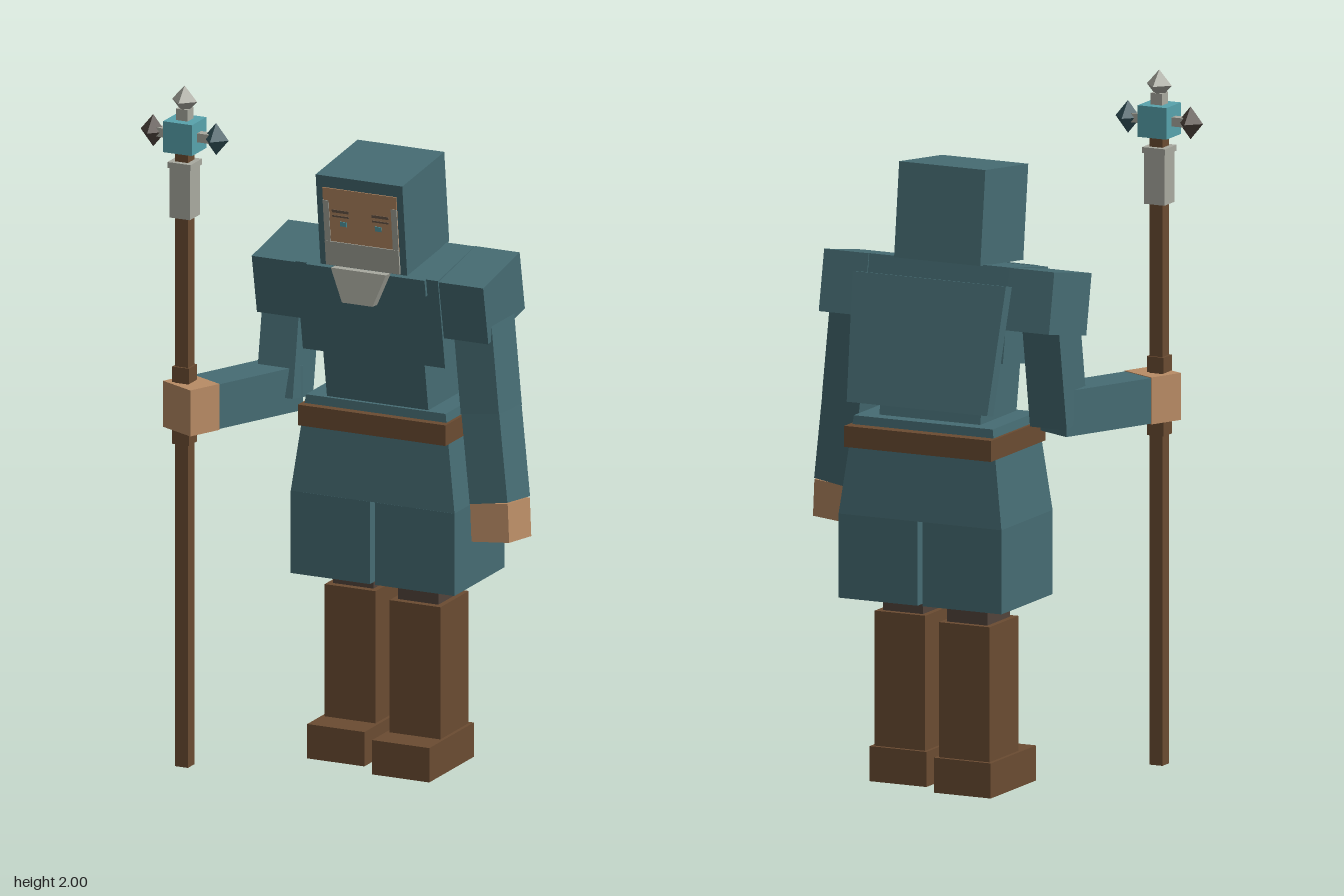
import * as THREE from 'three';

const mat = (name, color) => Object.assign(new THREE.MeshStandardMaterial({ color }), { name });

export function createModel() {
  const teal = mat('teal cloth', 0x466c73);
  const brown = mat('brown leather', 0x6b4c32);
  const darkBrown = mat('dark trousers', 0x52443b);
  const skin = mat('skin', 0xb98c65);
  const grey = mat('pale grey', 0xa9aaa0);
  const gem = mat('bright teal', 0x58a3ad);
  const darkGem = mat('dark teal', 0x34565e);
  const iron = mat('dark iron', 0x50463f);
  const ink = mat('brow', 0x6d5a4a);

  const model = new THREE.Group();
  model.name = 'hoodedStaffBearer';

  const add = (name, geo, material, x, y, z, parent = model) => {
    const m = new THREE.Mesh(geo, material);
    m.name = name;
    m.position.set(x, y, z);
    parent.add(m);
    return m;
  };
  // box given by its limits on each axis
  const box = (name, material, x0, x1, y0, y1, z0, z1, parent = model) =>
    add(name, new THREE.BoxGeometry(x1 - x0, y1 - y0, z1 - z0), material,
      (x0 + x1) / 2, (y0 + y1) / 2, (z0 + z1) / 2, parent);
  // box whose top and bottom differ in size
  const taper = (wBottom, dBottom, wTop, dTop, h) => {
    const g = new THREE.BoxGeometry(1, h, 1);
    const p = g.attributes.position;
    for (let i = 0; i < p.count; i++) {
      const top = p.getY(i) > 0;
      p.setX(i, p.getX(i) * (top ? wTop : wBottom));
      p.setZ(i, p.getZ(i) * (top ? dTop : dBottom));
    }
    g.computeVertexNormals();
    return g;
  };
  // box running from point a to point b
  const limb = (name, material, a, b, w, h, up) => {
    const from = new THREE.Vector3(...a), to = new THREE.Vector3(...b);
    const mid = from.clone().add(to).multiplyScalar(0.5);
    const m = add(name, new THREE.BoxGeometry(w, h, from.distanceTo(to)), material, mid.x, mid.y, mid.z);
    m.up.set(...up);
    m.lookAt(to);
    return m;
  };

  // Legs: the left one stands a little further forward
  for (const [side, x, z] of [['right', -0.047, -0.06], ['left', 0.185, 0]]) {
    box(side + 'Boot', brown, x - 0.089, x + 0.089, 0, 0.1, z - 0.22, z + 0.06);
    box(side + 'BootShaft', brown, x - 0.079, x + 0.079, 0.1, 0.485, z - 0.208, z - 0.03);
    box(side + 'Trouser', darkBrown, x - 0.063, x + 0.063, 0.48, 0.56, z - 0.19, z - 0.05);
  }

  // Robe skirt, its two lower panels and the belt
  box('rightSkirtPanel', teal, -0.185, 0.062, 0.535, 0.775, -0.31, 0.005);
  box('leftSkirtPanel', teal, 0.078, 0.325, 0.535, 0.775, -0.31, 0.005);
  add('skirt', taper(0.51, 0.315, 0.435, 0.275, 0.28), teal, 0.07, 0.915, -0.153);
  box('belt', brown, -0.16, 0.3, 0.97, 1.03, -0.325, 0.01);

  // Torso leans back toward the hips
  add('waist', new THREE.BoxGeometry(0.316, 0.2, 0.22), teal, 0.07, 1.135, -0.125).rotation.x = 0.17;
  add('chest', new THREE.BoxGeometry(0.443, 0.27, 0.235), teal, 0.071, 1.345, -0.095).rotation.x = 0.17;
  add('collar', new THREE.BoxGeometry(0.37, 0.05, 0.03), teal, 0.071, 1.435, 0.035).rotation.x = 0.17;
  const cape = add('cape', taper(0.44, 0.038, 0.48, 0.038, 0.365), teal, 0.07, 1.275, -0.273);
  cape.rotation.x = 0.21;

  // Head with hood, face plates and beard
  const head = new THREE.Group();
  head.name = 'head';
  head.position.set(0.07, 1.616, -0.057);
  head.rotation.x = 0.115;
  model.add(head);
  box('hood', teal, -0.135, 0.135, -0.135, 0.135, -0.133, 0.133, head);
  box('face', skin, -0.115, 0.115, -0.065, 0.1, 0.133, 0.136, head);
  box('beard', grey, -0.115, 0.115, -0.132, -0.06, 0.133, 0.139, head);
  for (const s of [-1, 1]) {
    add('whiskers', new THREE.BoxGeometry(0.018, 0.125, 0.005), grey, s * 0.106, 0, 0.1355, head);
    add('brow', new THREE.BoxGeometry(0.052, 0.008, 0.004), ink, s * 0.062, 0.033, 0.136, head);
    add('eyelid', new THREE.BoxGeometry(0.052, 0.005, 0.004), ink, s * 0.062, 0.018, 0.136, head);
    add('eye', new THREE.BoxGeometry(0.02, 0.014, 0.004), gem, s * 0.054, -0.004, 0.136, head);
  }
  add('beardTip', taper(0.095, 0.03, 0.172, 0.03, 0.095), grey, 0.07, 1.422, 0.083).rotation.x = -0.08;

  // Shoulders
  for (const [side, x] of [['right', -0.22], ['left', 0.361]])
    add(side + 'Shoulder', new THREE.BoxGeometry(0.14, 0.175, 0.234), teal, x, 1.39, -0.093).rotation.x = 0.19;

  // Left arm hangs down
  const zUp = [0, 0, 1], yUp = [0, 1, 0];
  limb('leftUpperArm', teal, [0.365, 1.37, -0.09], [0.405, 1.07, -0.066], 0.12, 0.142, zUp);
  limb('leftForearm', teal, [0.403, 1.085, -0.068], [0.447, 0.82, -0.035], 0.119, 0.138, zUp);
  limb('leftHand', skin, [0.447, 0.82, -0.035], [0.458, 0.712, -0.022], 0.118, 0.137, zUp);

  // Right arm reaches forward to the staff
  limb('rightUpperArm', teal, [-0.225, 1.37, -0.09], [-0.222, 1.04, -0.03], 0.115, 0.13, zUp);
  limb('rightForearm', teal, [-0.215, 1.07, -0.05], [-0.342, 1.07, 0.222], 0.118, 0.13, yUp);
  limb('rightHand', skin, [-0.342, 1.07, 0.222], [-0.386, 1.07, 0.316], 0.122, 0.134, yUp);

  // Staff
  const staff = new THREE.Group();
  staff.name = 'staff';
  staff.position.set(-0.383, 0, 0.272);
  model.add(staff);
  const rod = (name, material, r, y0, y1) => box(name, material, -r, r, y0, y1, -r, r, staff);
  rod('shaft', brown, 0.02, 0.02, 1.63);
  rod('lowerGrip', brown, 0.026, 0.96, 1.0);
  rod('upperGrip', brown, 0.026, 1.14, 1.185);
  rod('ferrule', grey, 0.032, 1.62, 1.765);
  rod('ferruleCap', grey, 0.036, 1.765, 1.782);
  rod('neck', brown, 0.02, 1.782, 1.815);
  rod('staffGem', gem, 0.045, 1.812, 1.902);
  rod('tipNeck', grey, 0.018, 1.9, 1.935);
  // Pointed ends above and to both sides
  const point = new THREE.OctahedronGeometry(0.039);
  add('topPoint', point, grey, 0, 1.957, 0, staff).scale.y = 1.1;
  for (const [s, m] of [[-1, iron], [1, darkGem]]) {
    add('sideNeck', new THREE.BoxGeometry(0.045, 0.026, 0.026), grey, s * 0.062, 1.857, 0, staff);
    add('sidePoint', point, m, s * 0.098, 1.857, 0, staff).scale.y = 1.2;
  }
  return model;
}
